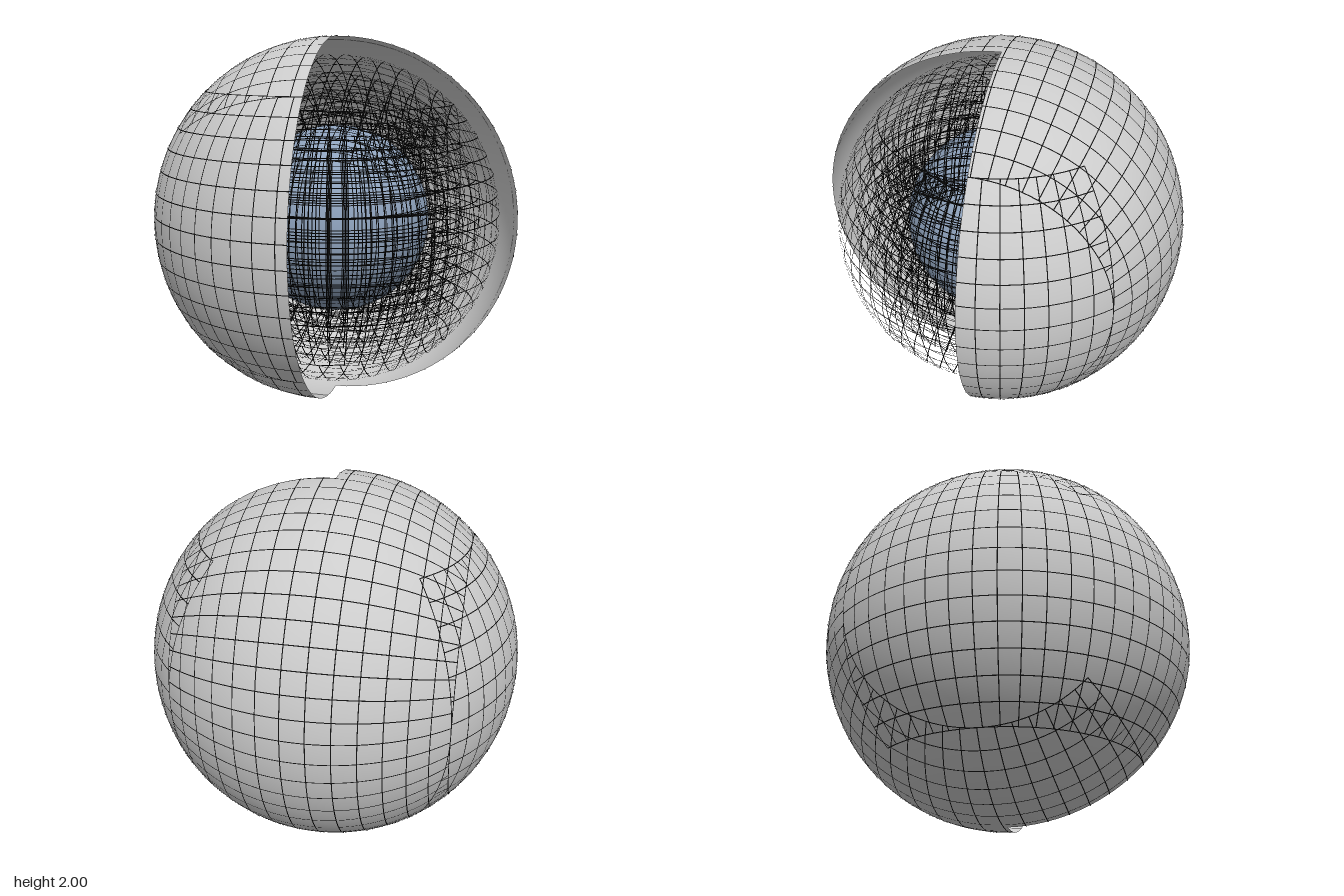
import * as THREE from 'three';

const RAD = Math.PI / 180;
const LATS = 14, MERIDIANS = 42, STEP = 3, WIDTH = 0.005;

// unit direction on a patch reaching 45 degrees in latitude and 135 in longitude
function patchPoint(lat, lon, second) {
  const a = lat * RAD, b = lon * RAD;
  const s = Math.cos(a) * Math.sin(b), c = Math.cos(a) * Math.cos(b), h = Math.sin(a);
  return second ? new THREE.Vector3(h, s, -c) : new THREE.Vector3(s, h, c);
}

// flat ribbons lying on a sphere along the lines of one patch
function ribbonGrid(radius, second, keep) {
  const pos = [], nor = [], idx = [];

  function addLine(pointAt, from, to) {
    const n = Math.round((to - from) / STEP);
    for (let i = 0; i < n; i++) {
      const t = from + (to - from) * i / n, dt = (to - from) / n;
      if (!keep(pointAt(t + dt / 2))) continue;
      const base = pos.length / 3;
      for (const u of [t, t + dt]) {
        const p = pointAt(u);
        const side = pointAt(u + 0.1).sub(pointAt(u - 0.1)).cross(p).normalize();
        for (const k of [-0.5, 0.5]) {
          const v = p.clone().multiplyScalar(radius).addScaledVector(side, k * WIDTH);
          pos.push(v.x, v.y, v.z);
          nor.push(p.x, p.y, p.z);
        }
      }
      idx.push(base, base + 1, base + 2, base + 1, base + 3, base + 2);
    }
  }

  for (let i = 0; i < LATS; i++) {
    const lat = -45 + 90 * i / (LATS - 1);
    addLine(t => patchPoint(lat, t, second), -135, 135);
  }
  for (let i = 0; i < MERIDIANS; i++) {
    const lon = -135 + 270 * i / (MERIDIANS - 1);
    addLine(t => patchPoint(t, lon, second), -45, 45);
  }

  const g = new THREE.BufferGeometry();
  g.setAttribute('position', new THREE.Float32BufferAttribute(pos, 3));
  g.setAttribute('normal', new THREE.Float32BufferAttribute(nor, 3));
  g.setIndex(idx);
  return g;
}

export function createModel() {
  const model = new THREE.Group();
  const globe = new THREE.Group();
  globe.position.y = 1;
  model.add(globe);

  const grey = new THREE.MeshStandardMaterial({ color: 0xcccccc, side: THREE.DoubleSide });
  const blue = new THREE.MeshStandardMaterial({ color: 0x8fa3bd });
  const black = new THREE.MeshStandardMaterial({ color: 0x111111, side: THREE.DoubleSide });

  function add(name, geometry, material) {
    const mesh = new THREE.Mesh(geometry, material);
    mesh.name = name;
    globe.add(mesh);
  }

  // outer shell with the front quarter cut away
  add('outerShell', new THREE.SphereGeometry(0.997, 96, 64, Math.PI, Math.PI * 1.5), grey);

  // solid core
  add('core', new THREE.SphereGeometry(0.515, 64, 48), blue);

  // two interlocking grid patches on the shell and on each inner layer
  const outsideCut = p => !(p.x > 0 && p.z > 0);
  const everywhere = () => true;
  for (const second of [false, true]) {
    const patch = second ? 'SecondPatch' : 'FirstPatch';
    add('shellGrid' + patch, ribbonGrid(1, second, outsideCut), black);
    [0.52, 0.615, 0.71, 0.805, 0.9].forEach((r, i) =>
      add('innerGrid' + (i + 1) + patch, ribbonGrid(r, second, everywhere), black));
  }
  return model;
}
